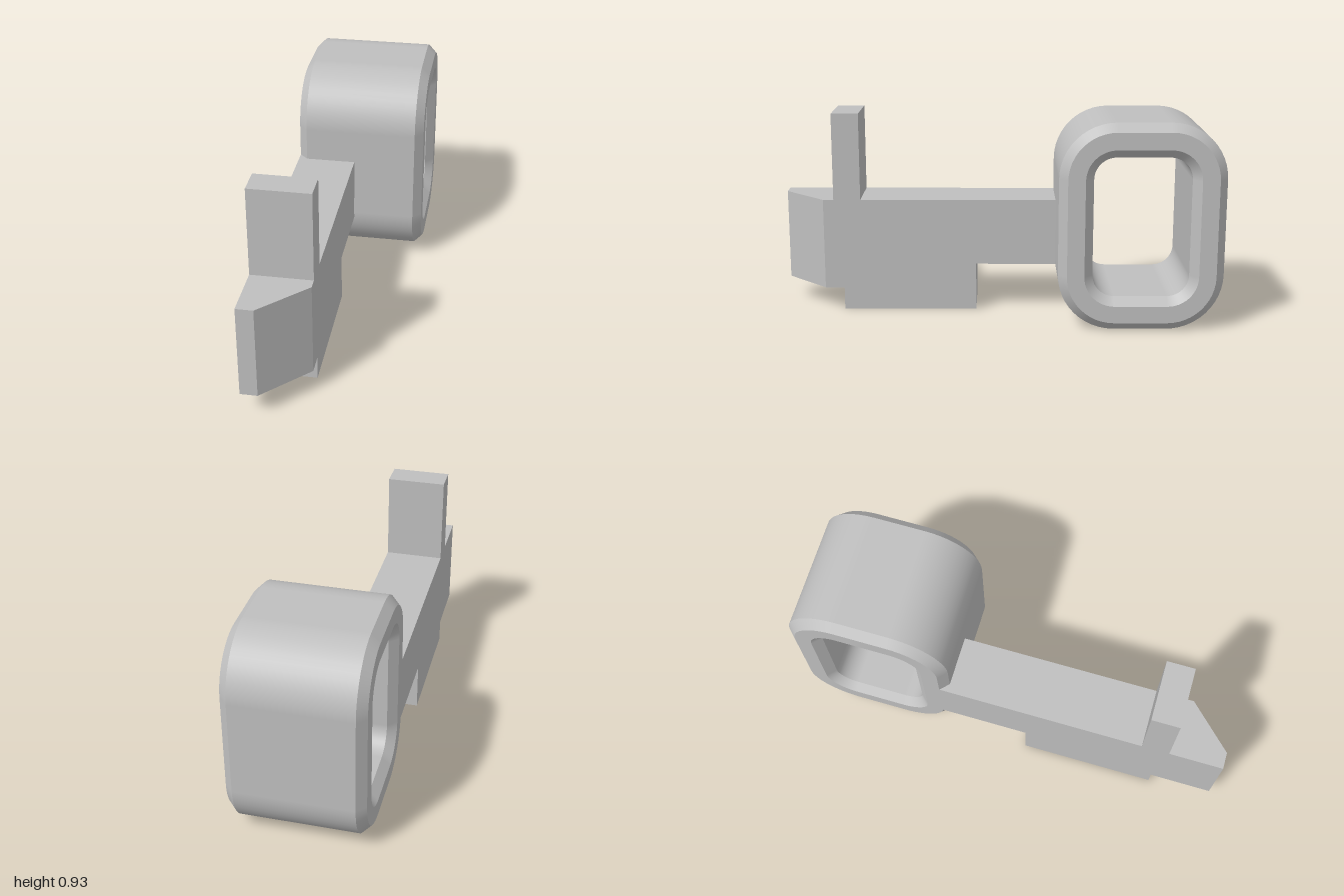
import * as THREE from 'three';

const grey = new THREE.MeshStandardMaterial({ color: 0xbfbfbf });
grey.name = 'plain grey';

// Extrudes a (z, y) outline across x, from x0 to x1
function sidePlate(points, x0, x1) {
  const shape = new THREE.Shape(points.map(([z, y]) => new THREE.Vector2(z, y)));
  return new THREE.ExtrudeGeometry(shape, { depth: x1 - x0, bevelEnabled: false })
    .rotateY(-Math.PI / 2).translate(x1, 0, 0);
}

// Extrudes an (x, z) outline upwards, from y0 to y1
function plan(points, y0, y1) {
  const shape = new THREE.Shape(points.map(([x, z]) => new THREE.Vector2(x, -z)));
  return new THREE.ExtrudeGeometry(shape, { depth: y1 - y0, bevelEnabled: false })
    .rotateX(-Math.PI / 2).translate(0, y0, 0);
}

// Sweeps a chamfered wall section round a rounded rectangle in the z-y plane
function chamferedRing({ halfZ, halfY, halfX, radius, wall, chamfer: c }) {
  const e = halfX - c;
  // Section corners: [inward offset, x]
  const section = [[0, e], [c, halfX], [wall - c, halfX], [wall, e],
    [wall, -e], [wall - c, -halfX], [c, -halfX], [0, -e]];
  const steps = 12;
  const loop = [];
  for (let q = 0; q < 4; q++) {
    const sz = q === 0 || q === 3 ? 1 : -1;
    const sy = q < 2 ? 1 : -1;
    for (let i = 0; i <= steps; i++) {
      const a = (q + i / steps) * Math.PI / 2;
      loop.push({ z: sz * (halfZ - radius), y: sy * (halfY - radius), nz: Math.cos(a), ny: Math.sin(a) });
    }
  }
  const position = [], normal = [], index = [];
  section.forEach((from, s) => {
    const to = section[(s + 1) % section.length];
    const dr = from[0] - to[0], dx = to[1] - from[1], len = Math.hypot(dr, dx);
    const base = position.length / 3;
    loop.forEach((p, i) => {
      for (const [d, x] of [from, to]) {
        position.push(x, p.y + (radius - d) * p.ny, p.z + (radius - d) * p.nz);
        normal.push(-dr / len, p.ny * dx / len, p.nz * dx / len);
      }
      const a = base + 2 * i, b = base + 2 * ((i + 1) % loop.length);
      index.push(a, a + 1, b, a + 1, b + 1, b);
    });
  });
  const g = new THREE.BufferGeometry();
  g.setAttribute('position', new THREE.Float32BufferAttribute(position, 3));
  g.setAttribute('normal', new THREE.Float32BufferAttribute(normal, 3));
  g.setIndex(index);
  return g;
}

export function createModel() {
  const group = new THREE.Group();
  group.name = 'keyShapedBracket';
  const add = (name, geometry) => {
    const mesh = new THREE.Mesh(geometry, grey);
    mesh.name = name;
    group.add(mesh);
  };
  const left = -0.295, right = -0.028;

  // Rounded rectangular loop at the back
  add('ring', chamferedRing({
    halfZ: 0.3665, halfY: 0.465, halfX: 0.295, radius: 0.25, wall: 0.1525, chamfer: 0.038,
  }).translate(0, 0.465, -0.6335));

  // Arm with its lower block and upright post
  add('arm', sidePlate([
    [-0.31, 0.22], [0.1, 0.22], [0.1, 0], [0.717, 0], [0.717, 0.105], [0.805, 0.105],
    [0.805, 0.525], [0.757, 0.525], [0.757, 0.925], [0.633, 0.925], [0.633, 0.525], [-0.31, 0.525],
  ], left, right));

  // Bevelled tip at the front
  add('tip', plan([[left, 0.805], [left, 1], [-0.22, 1], [right, 0.805]], 0.105, 0.525));

  return group;
}
